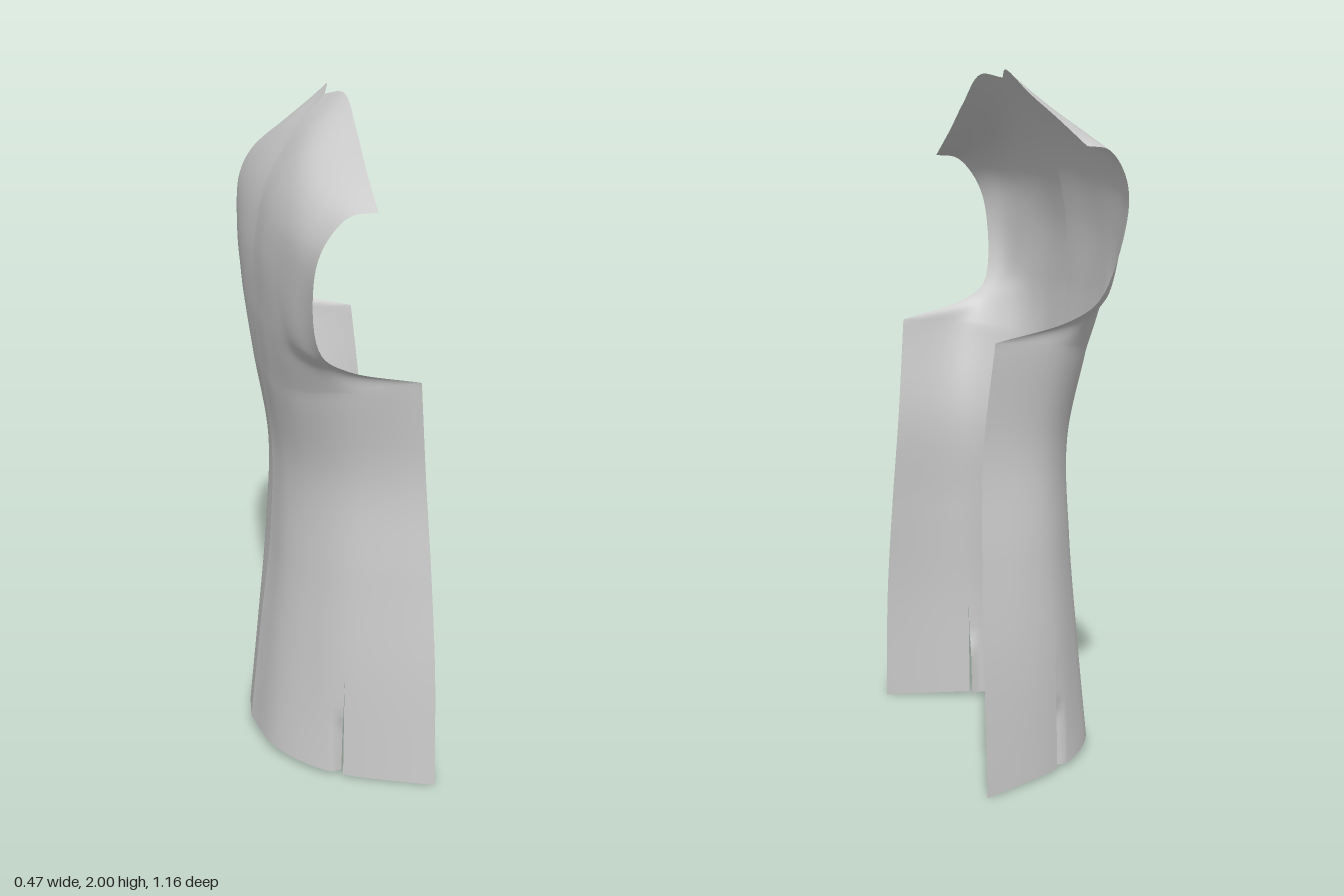
import * as THREE from 'three';
import { mergeVertices } from 'three/addons/utils/BufferGeometryUtils.js';

// Cross-sections of half a garment back, from centre seam to outer edge (x, y, z).
const hem = [[-0.24, 0.03, 0], [-0.205, 0.025, 0.17], [-0.13, 0.018, 0.28], [-0.03, 0.01, 0.355], [0.23, 0, 0.46]];
const hip = [[-0.205, 0.36, 0], [-0.178, 0.36, 0.15], [-0.115, 0.355, 0.26], [-0.02, 0.35, 0.352], [0.23, 0.35, 0.437]];
const lowWaist = [[-0.172, 0.65, 0], [-0.155, 0.65, 0.14], [-0.1, 0.65, 0.247], [0, 0.65, 0.345], [0.222, 0.65, 0.402]];
const waist = [[-0.162, 0.95, 0], [-0.147, 0.95, 0.13], [-0.1, 0.95, 0.24], [0, 0.95, 0.335], [0.207, 0.95, 0.372]];
const underarm = [[-0.193, 1.2, 0], [-0.185, 1.2, 0.15], [-0.14, 1.21, 0.28], [-0.03, 1.235, 0.385], [0.18, 1.255, 0.395]];
const yoke = [
  [[-0.205, 1.32, 0], [-0.2, 1.32, 0.17], [-0.17, 1.32, 0.3], [-0.1, 1.31, 0.385], [-0.03, 1.31, 0.42]],
  [[-0.21, 1.4, 0], [-0.207, 1.4, 0.17], [-0.19, 1.4, 0.3], [-0.16, 1.38, 0.39], [-0.11, 1.365, 0.435]],
  [[-0.205, 1.58, 0], [-0.21, 1.58, 0.16], [-0.2, 1.58, 0.29], [-0.18, 1.58, 0.42], [-0.15, 1.58, 0.515]],
  [[-0.17, 1.74, 0], [-0.18, 1.73, 0.15], [-0.18, 1.71, 0.3], [-0.165, 1.7, 0.43], [-0.13, 1.69, 0.55]],
  [[-0.09, 1.88, 0], [-0.1, 1.87, 0.13], [-0.12, 1.82, 0.29], [-0.11, 1.785, 0.43], [-0.07, 1.765, 0.57]],
  [[0, 1.985, 0], [0.03, 2, 0.1], [0.025, 1.925, 0.26], [0.01, 1.85, 0.42], [0, 1.775, 0.58]],
];

const COLS = 32, DART = 24, DART_TOP = 0.35;

// Smooth a section list into closely spaced rows of COLS + 1 points
function loft(sections, steps) {
  const across = sections.map((s) => new THREE.CatmullRomCurve3(s.map((p) => new THREE.Vector3(...p))));
  const columns = [];
  for (let j = 0; j <= COLS; j++) {
    columns.push(new THREE.CatmullRomCurve3(across.map((c) => c.getPoint(j / COLS))));
  }
  const rows = [];
  for (let i = 0; i <= steps; i++) rows.push(columns.map((c) => c.getPoint(i / steps)));
  return rows;
}

function halfBackGeometry() {
  const torso = loft([hem, hip, lowWaist, waist, underarm], 48);
  const upper = loft([underarm, ...yoke], 48);
  const rows = [...torso, ...upper.slice(1)];
  const positions = [], index = [];

  for (const row of rows) {
    row.forEach((p, j) => {
      // The dart column is doubled; its back lip folds inward towards the hem
      if (j === DART || j === DART - 1) {
        const open = THREE.MathUtils.clamp((DART_TOP - p.y) / DART_TOP, 0, 1);
        const fold = open > 0 ? 0.006 * open + 0.02 * THREE.MathUtils.smoothstep(0.22 - p.y, 0, 0.07) : 0;
        const k = j === DART ? 1 : 0.4;
        positions.push(p.x + 0.2 * fold * k, p.y, p.z - fold * k);
        if (j === DART) positions.push(p.x + 0.004 * open, p.y, p.z + 0.002 * open);
      } else positions.push(p.x, p.y, p.z);
    });
  }

  const w = COLS + 2;
  for (let i = 0; i < rows.length - 1; i++) {
    for (let j = 0; j < w - 1; j++) {
      if (j === DART) continue; // slit between the two lips
      const a = i * w + j, b = a + 1, c = a + w, d = c + 1;
      index.push(a, b, c, b, d, c);
    }
  }

  let geometry = new THREE.BufferGeometry();
  geometry.setAttribute('position', new THREE.Float32BufferAttribute(positions, 3));
  geometry.setIndex(index);
  geometry = mergeVertices(geometry, 1e-5); // closes the slit above the dart tip
  geometry.computeVertexNormals();
  return geometry;
}

export function createModel() {
  const group = new THREE.Group();
  group.name = 'garmentBack';
  const cloth = new THREE.MeshStandardMaterial({ color: 0xcccccc, side: THREE.DoubleSide });
  const geometry = halfBackGeometry();

  // Two mirrored panels meeting at the centre back seam
  for (const side of [1, -1]) {
    const panel = new THREE.Mesh(geometry, cloth);
    panel.name = side > 0 ? 'frontSidePanel' : 'rearSidePanel';
    panel.scale.z = side;
    group.add(panel);
  }
  return group;
}
